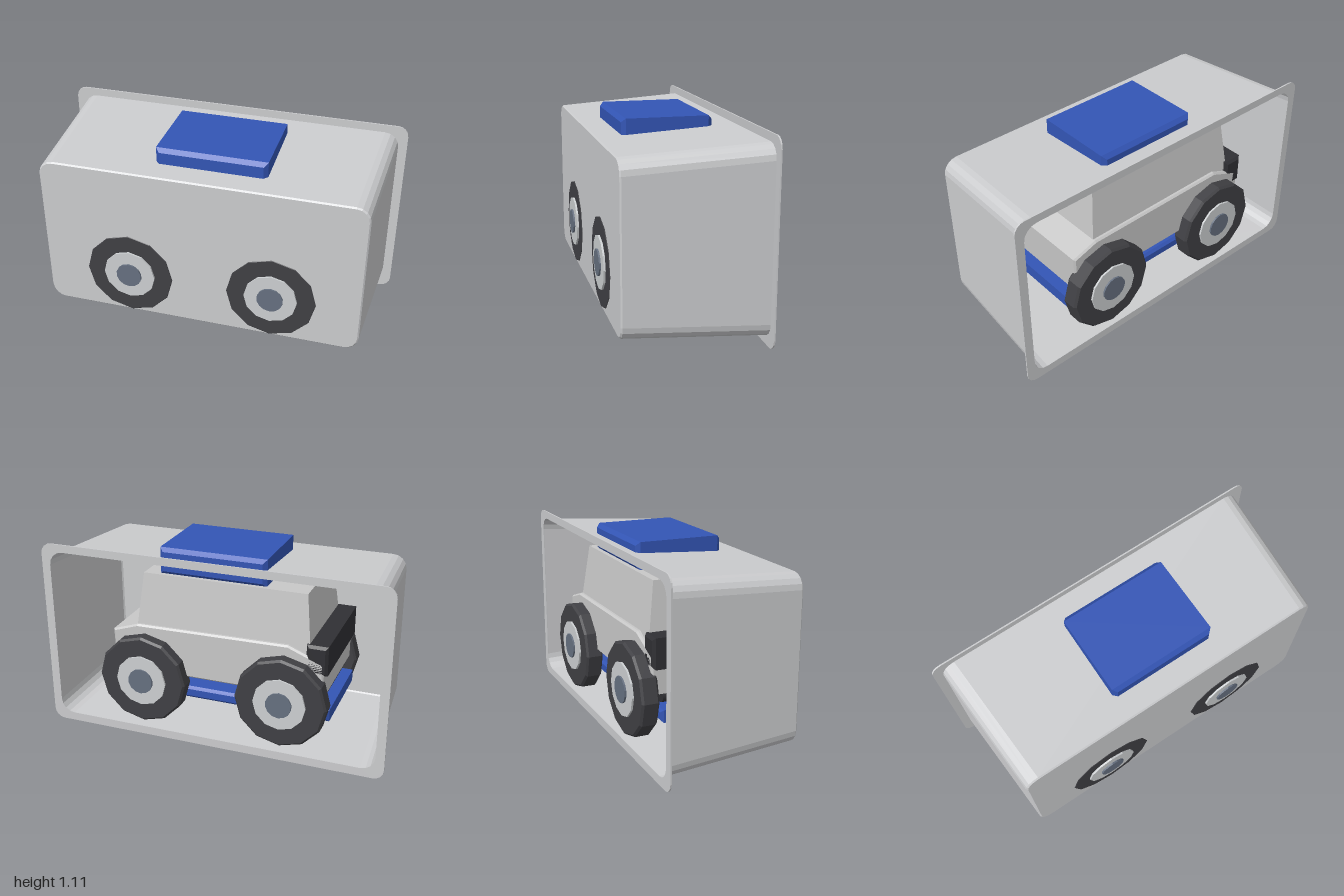
import * as THREE from 'three';

const mat = (name, color, opts = {}) => Object.assign(new THREE.MeshStandardMaterial({ color, ...opts }), { name });

// Outline of a rounded rectangle centred on (0, cy), counter-clockwise
function roundedLoop(hw, hh, r, cy, steps = 4) {
  const pts = [];
  [[1, 1], [-1, 1], [-1, -1], [1, -1]].forEach(([sx, sy], q) => {
    for (let i = 0; i <= steps; i++) {
      const a = (q + i / steps) * Math.PI / 2;
      pts.push(new THREE.Vector2(sx * (hw - r) + r * Math.cos(a), cy + sy * (hh - r) + r * Math.sin(a)));
    }
  });
  return pts;
}

// Flat-faced walls between successive loops [points, z], back to front
function loftWalls(loops) {
  const pos = [];
  for (let k = 0; k + 1 < loops.length; k++) {
    const [a, za] = loops[k], [b, zb] = loops[k + 1];
    for (let i = 0; i < a.length; i++) {
      const j = (i + 1) % a.length;
      const p = [a[i].x, a[i].y, za], q = [a[j].x, a[j].y, za];
      const r = [b[j].x, b[j].y, zb], s = [b[i].x, b[i].y, zb];
      pos.push(...p, ...q, ...r, ...p, ...r, ...s);
    }
  }
  const g = new THREE.BufferGeometry();
  g.setAttribute('position', new THREE.Float32BufferAttribute(pos, 3));
  g.computeVertexNormals();
  return g;
}

// Side profile in x, y extruded evenly about z = 0
function profileBlock(points, halfDepth, bevel) {
  const shape = new THREE.Shape(points.map(([x, y]) => new THREE.Vector2(x, y)));
  const depth = 2 * (halfDepth - bevel);
  return new THREE.ExtrudeGeometry(shape, {
    depth, bevelEnabled: bevel > 0, bevelSize: bevel, bevelThickness: bevel,
    bevelOffset: -bevel, bevelSegments: 1,
  }).translate(0, 0, -depth / 2);
}

export function createModel() {
  const model = new THREE.Group();
  model.name = 'toyCarInTray';
  const trayGrey = mat('trayGrey', 0xcbccce, { side: THREE.DoubleSide });
  const bodyGrey = mat('bodyGrey', 0xc8c8c8);
  const blue = mat('blue', 0x3355b5);
  const rubber = mat('rubber', 0x404044, { flatShading: true });
  const hubGrey = mat('hubGrey', 0xcccfd1, { flatShading: true });
  const capSlate = mat('capSlate', 0x667080, { flatShading: true });
  const black = mat('black', 0x303034);

  const add = (name, geometry, material, parent = model) => {
    const m = new THREE.Mesh(geometry, material);
    m.name = name;
    parent.add(m);
    return m;
  };

  // Open-backed tray with tapered walls and a flat front
  const tray = new THREE.Group();
  tray.name = 'tray';
  model.add(tray);
  const opening = roundedLoop(0.95, 0.503, 0.08, 0.552);
  const shoulder = roundedLoop(0.91, 0.459, 0.08, 0.55);
  const face = roundedLoop(0.902, 0.451, 0.072, 0.55);
  add('trayWalls', loftWalls([[opening, -0.38], [shoulder, 0.378], [face, 0.386]]), trayGrey, tray);
  add('trayFront', new THREE.ShapeGeometry(new THREE.Shape(face)).translate(0, 0, 0.386), trayGrey, tray);

  // Rim around the opening
  const rim = new THREE.Shape(roundedLoop(1, 0.55, 0.06, 0.55));
  rim.holes.push(new THREE.Path([...opening].reverse()));
  add('trayRim', new THREE.ExtrudeGeometry(rim, { depth: 0.008, bevelEnabled: false }).translate(0, 0, -0.385), trayGrey, tray);

  // Car body, cabin and roof
  const car = new THREE.Group();
  car.name = 'car';
  model.add(car);
  add('lowerBody', profileBlock([[-0.63, 0.38], [0.6, 0.38], [0.61, 0.61], [0.46, 0.66], [-0.43, 0.67], [-0.63, 0.59]], 0.32, 0.01), bodyGrey, car);
  const cabin = new THREE.BoxGeometry(1, 1, 1);
  const cp = cabin.attributes.position;
  for (let i = 0; i < cp.count; i++) {
    const top = cp.getY(i) > 0;
    const x = cp.getX(i) > 0 ? (top ? 0.43 : 0.465) : (top ? -0.515 : -0.55);
    cp.setXYZ(i, x, top ? 0.955 : 0.64, Math.sign(cp.getZ(i)) * (top ? 0.26 : 0.3));
  }
  cabin.computeVertexNormals();
  add('cabin', cabin, bodyGrey, car);
  add('roof', profileBlock([[-0.28, 0.95], [0.34, 0.95], [0.34, 1.105], [-0.28, 1.105]], 0.25, 0.022), blue, car);

  // Bumper, chassis plate and underside rails
  add('bumper', profileBlock([[-0.65, 0.52], [-0.53, 0.52], [-0.53, 0.69], [-0.65, 0.69]], 0.32, 0.015), black, car);
  add('chassisPlate', profileBlock([[-0.66, 0.23], [0.62, 0.23], [0.62, 0.3], [-0.66, 0.3]], 0.28, 0.015), blue, car);
  for (const x of [-0.58, 0.54]) {
    add('crossBar', new THREE.CylinderGeometry(0.035, 0.035, 0.5, 10).rotateX(Math.PI / 2).translate(x, 0.35, 0), black, car);
  }

  // Axles and four chamfered wheels
  const tyreProfile = [[0.1, 0], [0.25, 0], [0.262, 0.012], [0.262, 0.088], [0.25, 0.1], [0.1, 0.1]]
    .map(([r, h]) => new THREE.Vector2(r, h));
  for (const x of [-0.41, 0.41]) {
    add('axle', new THREE.CylinderGeometry(0.045, 0.045, 0.7, 12).rotateX(Math.PI / 2).translate(x, 0.35, 0), black, car);
    for (const side of [0, 1]) {
      const wheel = new THREE.Group();
      wheel.name = 'wheel';
      wheel.position.set(x, 0.35, 0);
      wheel.rotation.y = side * Math.PI;
      car.add(wheel);
      add('tyre', new THREE.LatheGeometry(tyreProfile, 12).rotateX(Math.PI / 2).translate(0, 0, 0.289), rubber, wheel);
      add('hub', new THREE.CylinderGeometry(0.15, 0.15, 0.12, 12).rotateX(Math.PI / 2).translate(0, 0, 0.34), hubGrey, wheel);
      add('hubCap', new THREE.CylinderGeometry(0.074, 0.074, 0.04, 14).rotateX(Math.PI / 2).translate(0, 0, 0.39), capSlate, wheel);
    }
  }
  return model;
}
